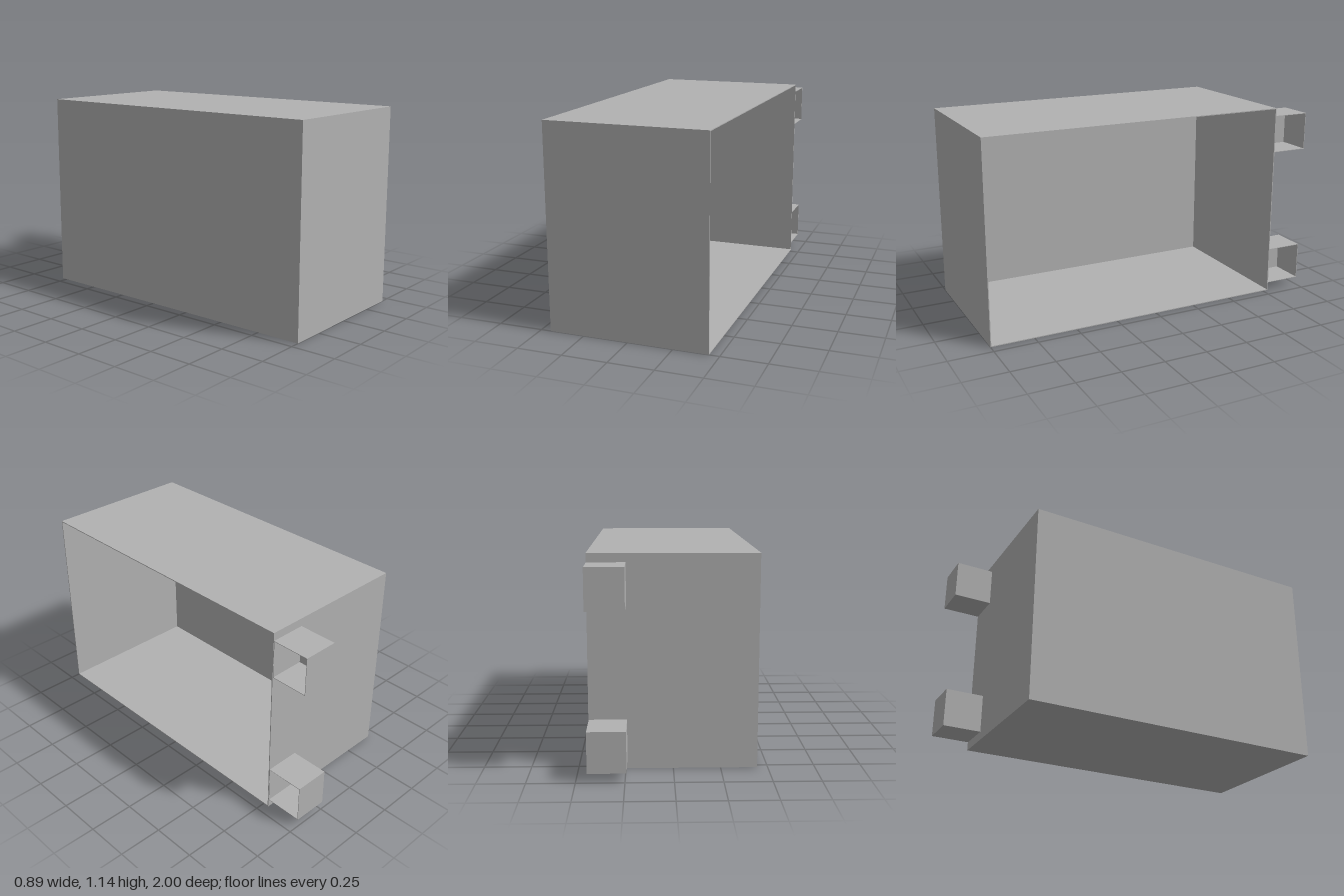
import * as THREE from 'three';

const grey = new THREE.MeshStandardMaterial({ color: 0xb2b2b2 });
grey.name = 'plainGrey';

// Thin-walled box between two corners, open on its +x side
function openBox(name, [x0, y0, z0], [x1, y1, z1], t) {
  const group = new THREE.Group();
  group.name = name;
  const panel = (part, ax, ay, az, bx, by, bz) => {
    const mesh = new THREE.Mesh(new THREE.BoxGeometry(bx - ax, by - ay, bz - az), grey);
    mesh.position.set((ax + bx) / 2, (ay + by) / 2, (az + bz) / 2);
    mesh.name = part;
    group.add(mesh);
  };
  panel('floor', x0, y0, z0, x1, y0 + t, z1);
  panel('roof', x0, y1 - t, z0, x1, y1, z1);
  panel('sideWall', x0, y0 + t, z0, x0 + t, y1 - t, z1);
  panel('backWall', x0 + t, y0 + t, z0, x1, y1 - t, z0 + t);
  panel('frontWall', x0 + t, y0 + t, z1 - t, x1, y1 - t, z1);
  return group;
}

export function createModel() {
  const model = new THREE.Group();
  model.name = 'openCabinet';

  // Main housing
  model.add(openBox('housing', [-0.444, 0, -0.784], [0.444, 1.137, 1], 0.005));

  // Two small hollow blocks on the back, flush with the open side
  [['lowerBlock', 0.049], ['upperBlock', 0.873]].forEach(([name, y]) =>
    model.add(openBox(name, [0.242, y, -1], [0.442, y + 0.218, -0.784], 0.003)));

  return model;
}
